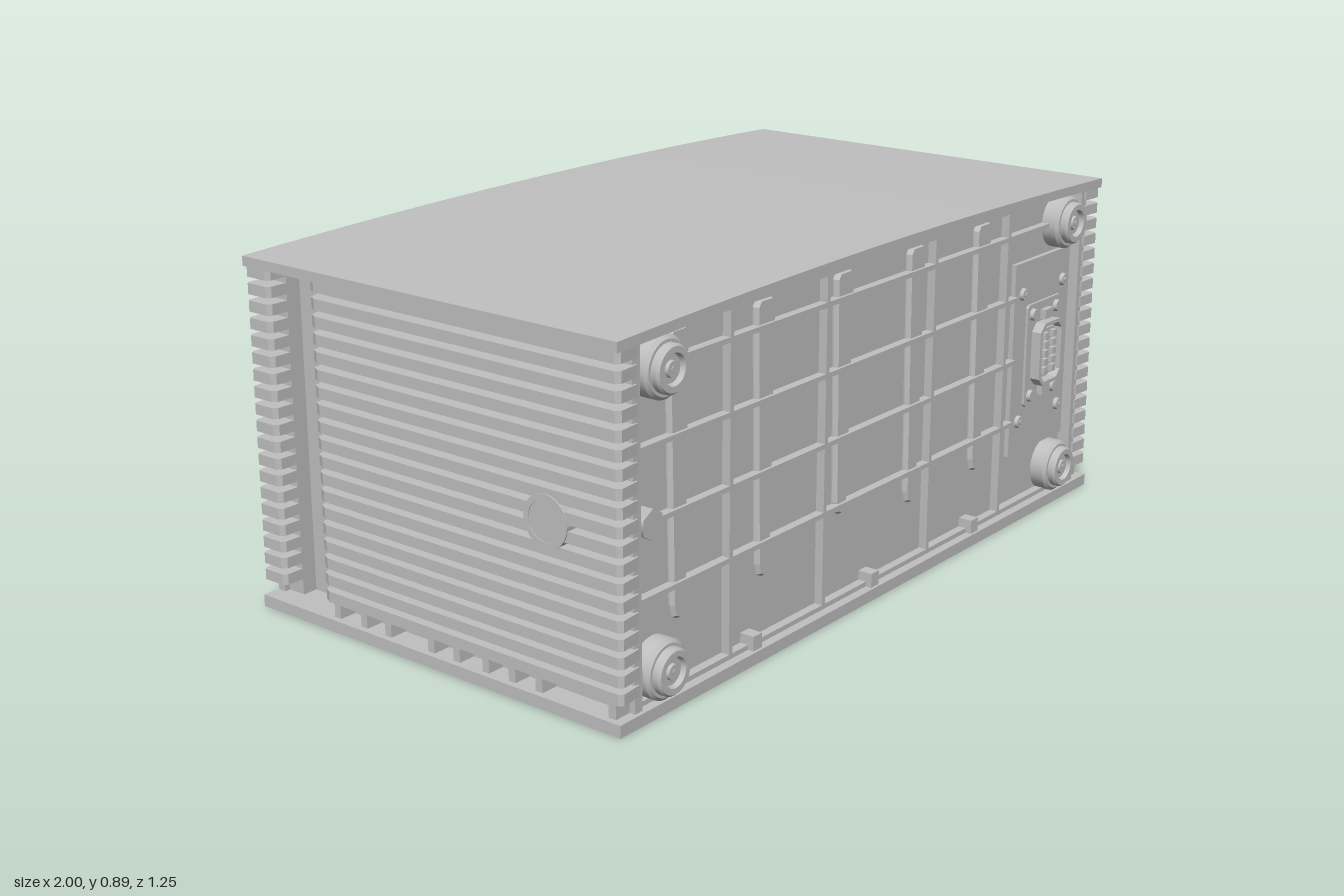
import * as THREE from 'three';

export function createModel() {
  const root = new THREE.Group();
  root.name = 'finnedEnclosure';
  const grey = new THREE.MeshStandardMaterial({ color: 0xc0c0c0 });
  grey.name = 'castGrey';

  const add = (name, geo, x = 0, y = 0, z = 0, parent = root) => {
    const m = new THREE.Mesh(geo, grey);
    m.name = name;
    m.position.set(x, y, z);
    parent.add(m);
    return m;
  };
  const box = (name, x0, x1, y0, y1, z0, z1, parent) =>
    add(name, new THREE.BoxGeometry(x1 - x0, y1 - y0, z1 - z0),
      (x0 + x1) / 2, (y0 + y1) / 2, (z0 + z1) / 2, parent);
  // Disc whose axis runs along z, from z0 to z1
  const disc = (name, r0, r1, x, y, z0, z1, sides = 24, parent = root) =>
    add(name, new THREE.CylinderGeometry(r1, r0, z1 - z0, sides).rotateX(Math.PI / 2), x, y, (z0 + z1) / 2, parent);
  const outline = pts => new THREE.Shape(pts.map(p => new THREE.Vector2(p[0], p[1])));
  const extrude = (shape, depth) => new THREE.ExtrudeGeometry(shape, { depth, bevelEnabled: false, curveSegments: 12 });
  // Plan outline in x, z raised from y0 to y1
  const slab = (name, pts, y0, y1) =>
    add(name, extrude(outline(pts.map(([x, z]) => [x, -z])), y1 - y0).rotateX(-Math.PI / 2), 0, y0, 0);
  const rounded = (w, h, c) => [
    [-w + c, -h], [w - c, -h], [w, -h + c], [w, h - c], [w - c, h], [-w + c, h], [-w, h - c], [-w, -h + c]];

  // Base plate and gently arched lid
  box('basePlate', -1, 1, 0, 0.03, -0.525, 0.605);
  const arch = (x, edge) => edge + 0.019 * (1 - x * x);
  const lid = [];
  const steps = 32;
  for (let i = 0; i <= steps; i++) { const x = -1 + 2 * i / steps; lid.push([x, arch(x, 0.872)]); }
  for (let i = steps; i >= 0; i--) { const x = -1 + 2 * i / steps; lid.push([x, arch(x, 0.848)]); }
  add('lid', extrude(outline(lid), 1.135), 0, 0, -0.528);

  // Core with a vertical channel on each side
  const side = [[0.94, 0.56], [0.94, -0.33], [0.9, -0.37], [0.9, -0.45], [0.94, -0.45], [0.94, -0.512]];
  const mirror = pts => pts.map(([x, z]) => [-x, z]).reverse();
  slab('core', [...side, ...mirror(side)], 0.03, 0.855);

  // Cooling fins, corner posts and base clips
  for (const s of [-1, 1]) {
    for (let i = 0; i < 19; i++) {
      const y = 0.07 + i * 0.0418;
      slab('sideFin', [[0.93, 0.6], [0.985, 0.605], [0.995, 0.595], [0.995, -0.295], [0.985, -0.315], [0.93, -0.33]]
        .map(([x, z]) => [s * x, z]), y, y + 0.027);
      slab('rearFin', [[0.93, -0.45], [0.985, -0.45], [0.995, -0.46], [0.995, -0.52], [0.985, -0.525], [0.93, -0.525]]
        .map(([x, z]) => [s * x, z]), y, y + 0.027);
    }
    box('frontPost', s * 0.9275 - 0.0125, s * 0.9275 + 0.0125, 0.03, 0.856, 0.55, 0.595);
    box('rearPost', s * 0.945 - 0.01, s * 0.945 + 0.01, 0.03, 0.856, -0.522, -0.5);
    for (const z of [0.57, 0.36, 0.28, 0.2, 0.11, 0.03, -0.11, -0.19, -0.28])
      box('baseClip', s * 0.96 - 0.025, s * 0.96 + 0.025, 0.03, 0.065, z - 0.01, z + 0.01);
  }

  // Front rib lattice
  for (const x of [-0.59, -0.23, 0.225, 0.57]) box('verticalRib', x - 0.006, x + 0.006, 0.03, 0.86, 0.555, 0.582);
  for (const y of [0.78, 0.61, 0.44, 0.27])
    box('horizontalRib', -0.915, y > 0.7 ? 0.915 : 0.625, y - 0.006, y + 0.006, 0.555, 0.582);
  box('lowerRib', -0.915, 0.915, 0.03, 0.042, 0.555, 0.582);
  box('upperRib', -0.915, 0.915, 0.847, 0.86, 0.555, 0.582);

  // Tapered bosses, wide at the top
  [-0.76, -0.455, -0.15, 0.155, 0.46].forEach((x, i) => {
    const low = i === 2 ? 0.25 : 0.19;
    const s = outline([[-0.013, low + 0.006], [0, low], [0.013, low + 0.006], [0.018, low + 0.03],
      [0.029, 0.825], [0.02, 0.838], [-0.02, 0.838], [-0.029, 0.825], [-0.018, low + 0.03]]);
    add('taperedBoss', new THREE.ExtrudeGeometry(s, {
      depth: 0.008, bevelThickness: 0.01, bevelSize: 0.006, bevelSegments: 1 }), x, 0, 0.556);
  });
  for (const x of [-0.51, -0.035, 0.425]) box('frontClip', x - 0.016, x + 0.016, 0.03, 0.066, 0.55, 0.598);
  disc('hexPlug', 0.036, 0.036, -0.87, 0.44, 0.55, 0.59, 6);

  // Round feet, stepped with a sunken screw
  const footProfile = [[0.07, 0], [0.07, 0.04], [0.062, 0.048], [0.055, 0.048], [0.055, 0.062], [0.05, 0.068],
    [0.036, 0.068], [0.032, 0.056], [0, 0.056]].map(p => new THREE.Vector2(...p));
  const edges = footProfile.slice(1).map((p, i) => [footProfile[i], p]);
  for (const x of [-0.84, 0.84]) for (const y of [0.1, 0.78]) {
    const foot = new THREE.Group();
    foot.name = 'foot';
    foot.position.set(x, y, 0.558);
    root.add(foot);
    for (const e of edges) add('footStep', new THREE.LatheGeometry(e, 32).rotateX(Math.PI / 2), 0, 0, 0, foot);
    disc('footScrew', 0.02, 0.018, 0, 0, 0.05, 0.064, 16, foot);
    disc('footScrewSocket', 0.008, 0.008, 0, 0, 0.06, 0.066, 6, foot);
  }

  // Multi-pin connector: flange, screws, hollow shell and pins
  const connector = () => {
    const g = new THREE.Group();
    g.name = 'connector';
    add('flange', extrude(outline(rounded(0.085, 0.14, 0.008)), 0.01), 0, 0, 0, g);
    for (const x of [-0.06, 0.06]) for (const y of [-0.112, 0.112])
      disc('flangeScrew', 0.017, 0.014, x, y, 0.01, 0.02, 16, g);
    const shell = outline(rounded(0.06, 0.086, 0.022));
    shell.holes.push(outline(rounded(0.05, 0.076, 0.018)));
    add('shell', extrude(shell, 0.032), 0, 0, 0.005, g);
    for (const y of [-0.105, 0.105]) box('latch', -0.02, 0.02, y - 0.013, y + 0.013, 0.005, 0.026, g);
    box('pinBlock', -0.036, 0.036, -0.064, 0.064, 0.005, 0.022, g);
    for (const x of [-0.02, 0.02]) for (let i = 0; i < 5; i++)
      box('pin', x - 0.009, x + 0.009, -0.057 + i * 0.024, -0.039 + i * 0.024, 0.02, 0.035, g);
    return g;
  };

  // Front connector on its mounting plate
  box('connectorPlate', 0.625, 0.905, 0.175, 0.7, 0.55, 0.573);
  for (const x of [0.665, 0.87]) for (const y of [0.265, 0.615]) {
    disc('plateScrew', 0.018, 0.015, x, y, 0.57, 0.583, 20);
    disc('plateScrewSocket', 0.007, 0.007, x, y, 0.58, 0.586, 6);
  }
  const frontConnector = connector();
  frontConnector.position.set(0.77, 0.44, 0.57);
  root.add(frontConnector);

  // Back cover with bolts
  box('backCover', -0.932, 0.932, 0.04, 0.852, -0.519, -0.5);
  const bolt = (x, y) => {
    disc('coverBolt', 0.015, 0.018, x, y, -0.527, -0.515, 20);
    disc('coverBoltSocket', 0.007, 0.007, x, y, -0.53, -0.525, 6);
  };
  for (const x of [-0.91, -0.457, 0, 0.457, 0.91]) for (const y of [0.07, 0.82]) bolt(x, y);
  for (const x of [-0.91, 0.91]) bolt(x, 0.445);

  // Back connector inside a hollow hood
  const hood = outline(rounded(0.077, 0.137, 0.016));
  hood.holes.push(outline(rounded(0.066, 0.126, 0.012)));
  add('connectorHood', extrude(hood, 0.112), 0.765, 0.438, -0.627);
  const backConnector = connector();
  backConnector.scale.set(0.77, 0.89, 1);
  backConnector.rotation.y = Math.PI;
  backConnector.position.set(0.765, 0.438, -0.58);
  root.add(backConnector);
  box('hoodFiller', 0.7, 0.83, 0.313, 0.563, -0.582, -0.51);

  // Round port among the fins on the right side
  const port = new THREE.Group();
  port.name = 'sidePort';
  port.position.set(-0.93, 0.44, 0.4);
  port.rotation.y = -Math.PI / 2;
  root.add(port);
  const ring = new THREE.Shape().absarc(0, 0, 0.062, 0, Math.PI * 2);
  ring.holes.push(new THREE.Path().absarc(0, 0, 0.048, 0, Math.PI * 2, true));
  add('portRing', extrude(ring, 0.068), 0, 0, 0, port);
  disc('portPlug', 0.049, 0.049, 0, 0, 0, 0.066, 24, port);

  // Small screws under the base
  for (const x of [-0.9, -0.45, 0, 0.45, 0.9]) for (const z of [-0.49, 0.57])
    add('baseScrew', new THREE.CylinderGeometry(0.014, 0.014, 0.006, 16), x, 0.002, z);
  return root;
}
